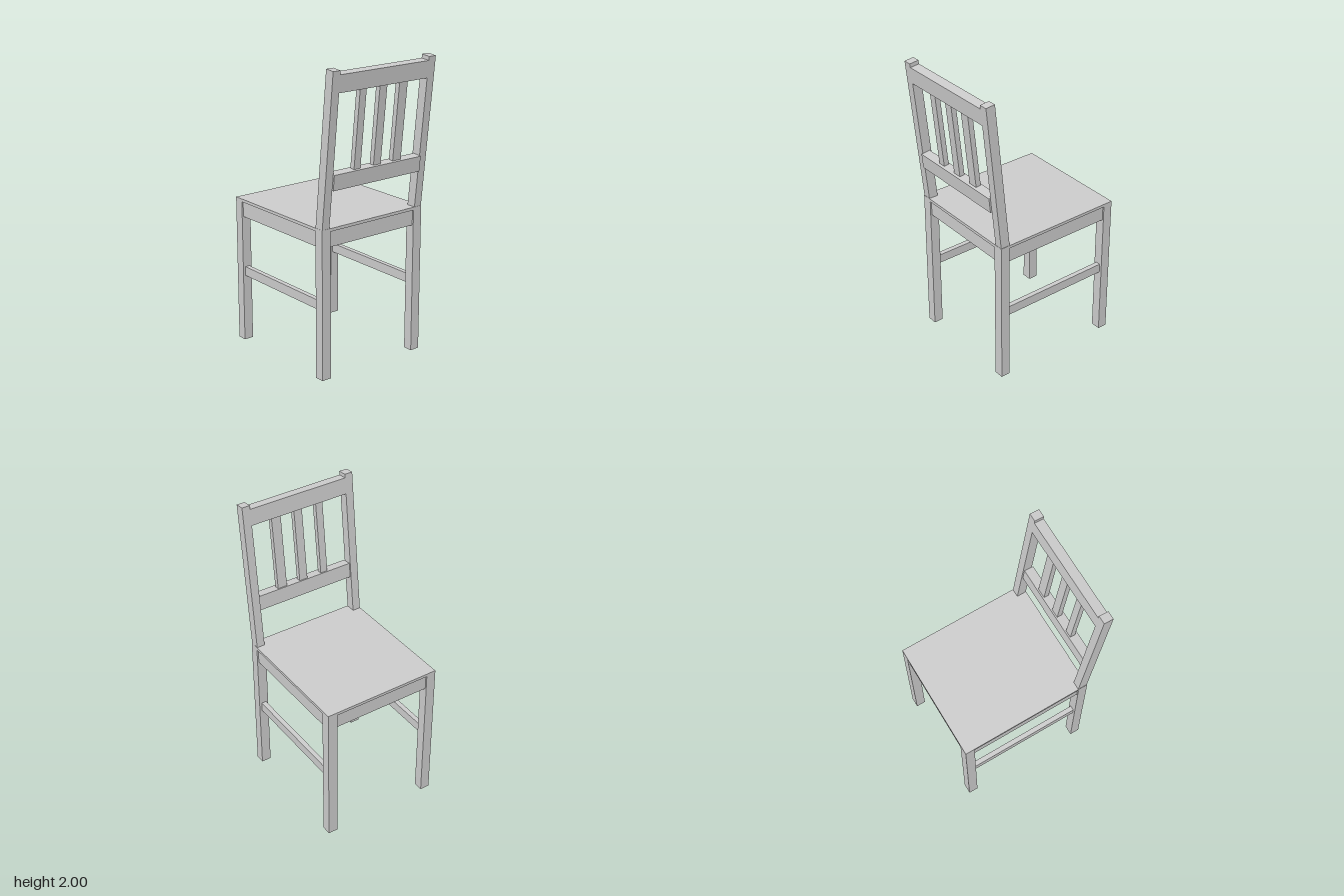
import * as THREE from 'three';

export function createModel() {
  const model = new THREE.Group();
  model.name = 'chair';
  const material = new THREE.MeshStandardMaterial({ color: 0xcccccc, flatShading: true });

  // Box given by its extents along each axis
  function box(parent, name, [x0, x1], [y0, y1], [z0, z1]) {
    const mesh = new THREE.Mesh(new THREE.BoxGeometry(x1 - x0, y1 - y0, z1 - z0), material);
    mesh.position.set((x0 + x1) / 2, (y0 + y1) / 2, (z0 + z1) / 2);
    mesh.name = name;
    parent.add(mesh);
  }
  const mirrored = (side, a, b) => (side > 0 ? [a, b] : [-b, -a]);

  // Seat board; the chair faces -x
  box(model, 'seat', [-0.508, 0.402], [0.98, 1.0], [-0.41, 0.41]);

  // Legs, side aprons and side stretchers
  for (const side of [1, -1]) {
    const legZ = mirrored(side, 0.343, 0.41);
    box(model, 'frontLeg', [-0.508, -0.443], [0, 0.98], legZ);
    box(model, 'backLeg', [0.337, 0.402], [0, 0.98], legZ);
    box(model, 'sideApron', [-0.443, 0.337], [0.877, 0.98], mirrored(side, 0.367, 0.4));
    box(model, 'sideStretcher', [-0.443, 0.337], [0.46, 0.523], mirrored(side, 0.36, 0.393));
  }

  // Front and back aprons
  box(model, 'frontApron', [-0.498, -0.465], [0.877, 0.98], [-0.343, 0.343]);
  box(model, 'backApron', [0.359, 0.392], [0.877, 0.98], [-0.343, 0.343]);

  // Backrest, built upright and then leaned back about its lower front edge
  const back = new THREE.Group();
  back.name = 'backrest';
  back.position.set(0.335, 1.0, 0);
  back.rotation.z = -0.105;
  model.add(back);

  for (const side of [1, -1]) {
    box(back, 'backPost', [0, 0.065], [0, 1.0055], mirrored(side, 0.352, 0.408));
  }
  box(back, 'topRail', [0, 0.065], [0.868, 0.98], [-0.352, 0.352]);
  box(back, 'lowerRail', [0.011, 0.076], [0.256, 0.358], [-0.352, 0.352]);

  // Slats of slightly different widths
  for (const z of [[-0.199, -0.132], [-0.033, 0.026], [0.131, 0.182]]) {
    box(back, 'slat', [0.021, 0.056], [0.358, 0.868], z);
  }
  return model;
}
